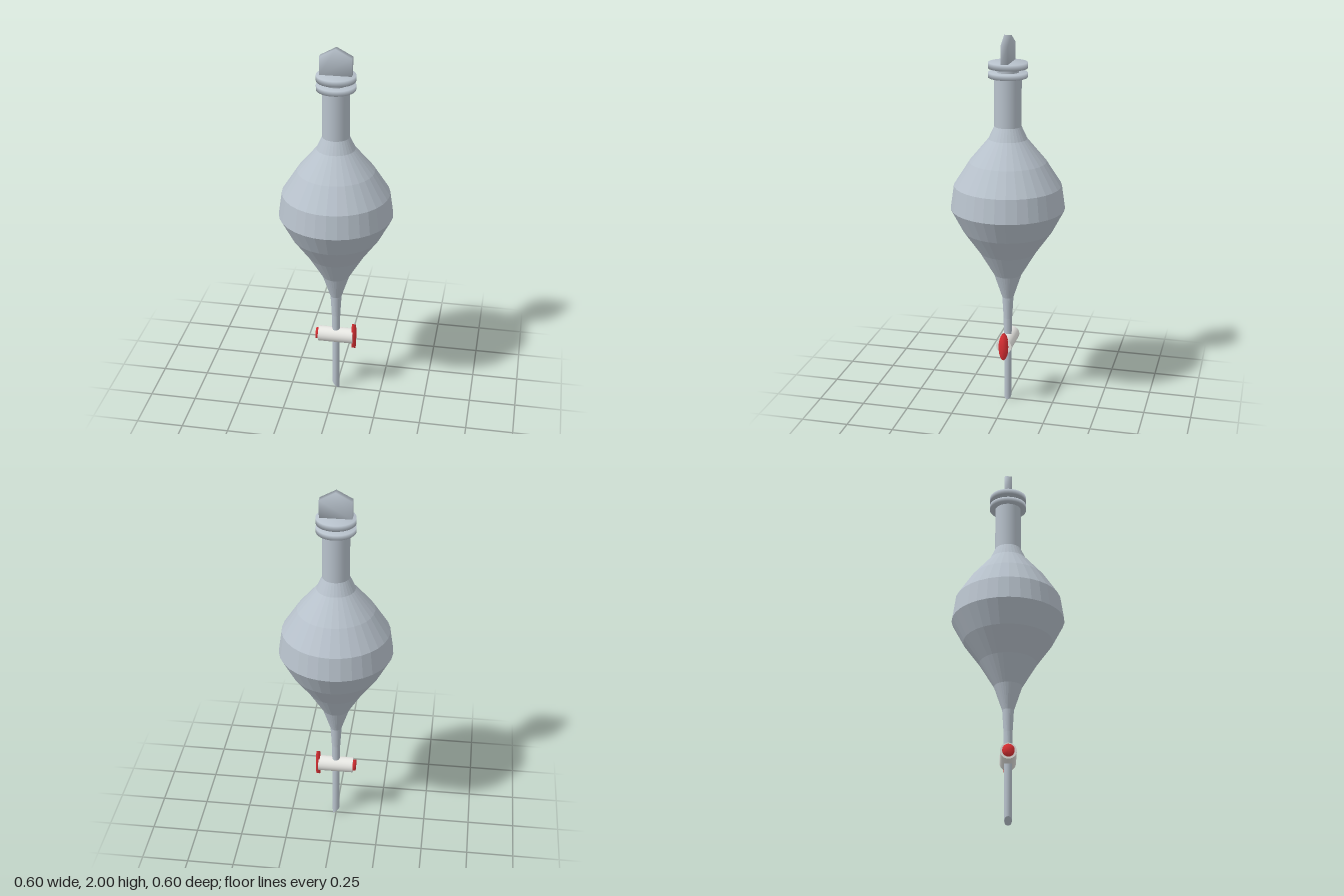
import * as THREE from 'three';
import { mergeVertices } from 'three/addons/utils/BufferGeometryUtils.js';

const SIDES = 32;
const paint = (name, color, flatShading = false) => {
  const m = new THREE.MeshStandardMaterial({ color, flatShading });
  m.name = name;
  return m;
};

// Share all corners so normals blend across edges
function soften(geometry) {
  geometry.deleteAttribute('normal');
  geometry.deleteAttribute('uv');
  const g = mergeVertices(geometry, 1e-4);
  g.computeVertexNormals();
  return g;
}

export function createModel() {
  const model = new THREE.Group();
  model.name = 'separatingFunnel';
  const glass = paint('greyGlass', 0xb8c2cc);
  const white = paint('whiteBarrel', 0xe8e8e4);
  const red = paint('redPlastic', 0xdc3034);

  const add = (name, geometry, material, x = 0, y = 0, z = 0) => {
    const mesh = new THREE.Mesh(geometry, material);
    mesh.name = name;
    mesh.position.set(x, y, z);
    model.add(mesh);
    return mesh;
  };
  const lathe = (points) =>
    new THREE.LatheGeometry(points.map(([r, y]) => new THREE.Vector2(r, y)), SIDES);
  // Lathe with one normal per face, for the faceted body
  const facetedLathe = (points) => {
    const g = lathe(points).toNonIndexed();
    g.computeVertexNormals();
    return g;
  };

  // Body: lower cone, belly, shoulder and neck
  add('bulb', facetedLathe([
    [0.022, 0.40], [0.023, 0.48], [0.03, 0.60], [0.073, 0.73], [0.15, 0.86], [0.235, 0.98],
    [0.298, 1.10], [0.28, 1.225], [0.2, 1.35], [0.1, 1.47], [0.07, 1.535],
  ]), glass);
  add('neck', lathe([[0.07, 1.535], [0.07, 1.79]]), glass);
  add('neckRim', lathe([
    [0.068, 1.787], [0.1, 1.787], [0.1, 1.813], [0, 1.813],
  ]), glass);

  // Stopper: plug, disc and flat gabled grip
  add('stopperPlug', new THREE.CylinderGeometry(0.058, 0.055, 0.05, SIDES), glass, 0, 1.82);
  add('stopperDisc', lathe([
    [0, 1.834], [0.1, 1.834], [0.1, 1.864], [0, 1.864],
  ]), glass);
  const gable = new THREE.Shape([
    [-0.082, 0], [0.082, 0], [0.082, 0.096], [0, 0.14], [-0.082, 0.096],
  ].map(([x, y]) => new THREE.Vector2(x, y)));
  add('stopperGrip', soften(
    new THREE.ExtrudeGeometry(gable, { depth: 0.038, bevelEnabled: false })
  ), glass, 0, 1.86, -0.019);

  // Outlet tube with an obliquely cut tip
  const stem = new THREE.CylinderGeometry(0.021, 0.019, 0.4, 16, 1);
  const p = stem.attributes.position;
  for (let i = 0; i < p.count; i++) {
    if (p.getY(i) < 0) p.setY(i, -0.18 - p.getX(i) * 1.0);
  }
  stem.translate(0, 0.2, 0);
  stem.computeVertexNormals();
  add('outletTube', stem, glass);

  // Stopcock: barrel, oval handle and retaining nut
  const acrossX = (top, bottom, length) =>
    new THREE.CylinderGeometry(top, bottom, length, 24).rotateZ(-Math.PI / 2);
  add('stopcockBarrel', acrossX(0.042, 0.042, 0.19), white, 0, 0.35);
  const oval = soften(acrossX(1, 1, 0.02).scale(1, 0.075, 0.025));
  add('stopcockHandle', oval, red, 0.099, 0.35);
  add('retainingNut', soften(acrossX(0.031, 0.031, 0.02)), red, -0.1, 0.35);

  return model;
}
